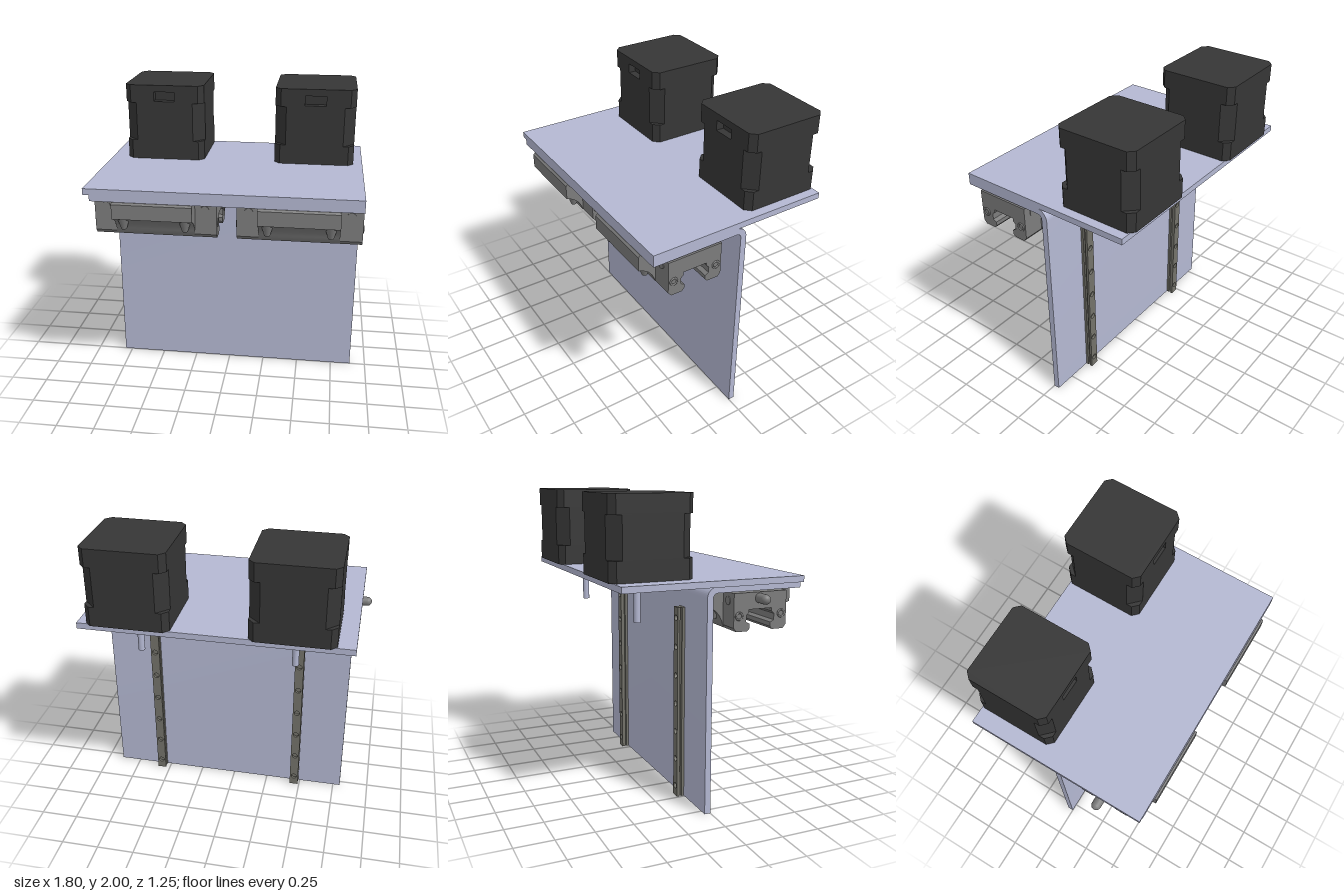
import * as THREE from 'three';
import { toCreasedNormals } from 'three/addons/utils/BufferGeometryUtils.js';

const material = (name, color) => {
  const m = new THREE.MeshStandardMaterial({ color });
  m.name = name;
  return m;
};

export function createModel() {
  const model = new THREE.Group();
  model.name = 'motorBracketAssembly';
  const plateMat = material('paleBlueMetal', 0xb4b8d2);
  const motorMat = material('blackHousing', 0x363636);
  const carriageMat = material('greySteel', 0x7c7c7c);
  const railMat = material('darkRailSteel', 0x73726a);

  const add = (parent, name, geometry, mat, x = 0, y = 0, z = 0) => {
    const mesh = new THREE.Mesh(geometry, mat);
    mesh.name = name;
    mesh.position.set(x, y, z);
    parent.add(mesh);
    return mesh;
  };
  const shapeOf = (pts) => new THREE.Shape(pts.map(([x, y]) => new THREE.Vector2(x, y)));
  const extrude = (shape, depth) =>
    new THREE.ExtrudeGeometry(shape, { depth, bevelEnabled: false, curveSegments: 12 });
  // Shape (u, y) swept along +x, with u = -z
  const alongX = (shape, length) => toCreasedNormals(extrude(shape, length).rotateY(Math.PI / 2), 0.5);
  // Shape (x, -z) swept along +y
  const alongY = (shape, length) => extrude(shape, length).rotateX(-Math.PI / 2);

  // Top plate and the bent bracket below it
  add(model, 'topPlate', new THREE.BoxGeometry(1.73, 0.04, 1.21), plateMat, 0.025, 1.47, 0.005);
  const bend = new THREE.Shape();
  bend.moveTo(-0.61, 1.45);
  bend.lineTo(-0.03, 1.45);
  bend.absarc(-0.03, 1.38, 0.07, Math.PI / 2, 0, true);
  bend.lineTo(0.04, 0);
  bend.lineTo(0, 0);
  bend.lineTo(0, 1.38);
  bend.absarc(-0.03, 1.38, 0.03, 0, Math.PI / 2, false);
  bend.lineTo(-0.61, 1.41);
  add(model, 'bentBracket', alongX(bend, 1.69), plateMat, -0.8, 0, 0);

  // Octagonal motor section, optionally with a connector recess in the front
  const octagon = (h, c, slot) => {
    const pts = [[-h, -h + c], [-h + c, -h]];
    if (slot) pts.push([-0.07, -h], [-0.07, -h + 0.05], [0.07, -h + 0.05], [0.07, -h]);
    pts.push([h - c, -h], [h, -h + c], [h, h - c], [h - c, h], [-h + c, h], [-h, h - c]);
    return shapeOf(pts);
  };
  const motorSections = [
    ['motorBase', 1.49, 1.62, 0.038, false],
    ['motorWaist', 1.62, 1.88, 0.075, false],
    ['motorCollar', 1.88, 1.89, 0.038, false],
    ['motorConnectorBand', 1.89, 1.955, 0.038, true],
    ['motorCap', 1.955, 2, 0.038, false],
  ];

  // Rail with side grooves and a row of bolt holes
  const rail = () => {
    const group = new THREE.Group();
    const length = 1.28, w = 0.03;
    const base = shapeOf([[-w, 0.04], [w, 0.04], [w, 0.058], [w - 0.008, 0.063],
      [w - 0.008, 0.073], [-w + 0.008, 0.073], [-w + 0.008, 0.063], [-w, 0.058]]);
    add(group, 'railBase', alongY(base, length), railMat);
    const cap = shapeOf([[-w, 0], [w, 0], [w, length], [-w, length]]);
    for (let i = 0; i < 7; i++) {
      const hole = new THREE.Path();
      hole.absarc(0, 0.07 + i * 0.19, 0.019, 0, Math.PI * 2, true);
      cap.holes.push(hole);
    }
    add(group, 'railCap', toCreasedNormals(extrude(cap, 0.017), 0.5), railMat, 0, 0, -0.09);
    return group;
  };

  // Motors, their shafts and the rails in line with them
  for (const x of [-0.46, 0.56]) {
    const motor = new THREE.Group();
    motor.name = 'motor';
    motor.position.set(x, 0, -0.355);
    for (const [name, y0, y1, chamfer, slot] of motorSections)
      add(motor, name, alongY(octagon(0.268, chamfer, slot), y1 - y0), motorMat, 0, y0, 0);
    add(motor, 'motorShaft', new THREE.CylinderGeometry(0.022, 0.022, 0.26, 24), plateMat, 0, 1.33, 0);
    model.add(motor);
    const r = rail();
    r.name = 'rail';
    r.position.x = x;
    model.add(r);
  }

  // Symmetric carriage profile: outer half from the top, then the rail channel
  const mirrored = (half) => shapeOf([...half, ...half.slice().reverse().map(([u, y]) => [-u, y])]);
  const channel = [[0.165, 1.16], [0.088, 1.16], [0.073, 1.178], [0.073, 1.205], [0.098, 1.218],
    [0.098, 1.258], [0.08, 1.275], [0.08, 1.295]];
  const bodyProfile = mirrored([[0.285, 1.41], [0.298, 1.398], [0.298, 1.302], [0.265, 1.29],
    [0.235, 1.27], [0.21, 1.24], [0.195, 1.21], [0.187, 1.185], ...channel]);
  const endProfile = mirrored([[0.185, 1.4], [0.185, 1.185], ...channel]);

  const carriage = (x0) => {
    const group = new THREE.Group();
    group.name = 'carriage';
    group.position.set(x0, 0, 0.327);
    const length = 0.782, endLength = 0.138;
    add(group, 'carriageBody', alongX(bodyProfile, length - 2 * endLength), carriageMat, endLength, 0, 0);
    for (const end of [0, 1]) {
      const mid = end ? length - endLength / 2 : endLength / 2;
      add(group, 'carriageEnd', alongX(endProfile, endLength), carriageMat, mid - endLength / 2, 0, 0);
      for (const side of [-1, 1]) {
        // Plug on the side of each end cap
        add(group, 'sidePlug', new THREE.CylinderGeometry(0.028, 0.028, 0.006, 24).rotateX(Math.PI / 2),
          carriageMat, end ? length - 0.075 : 0.075, 1.347, side * 0.186);
        // Cap screw on the end face
        add(group, 'endScrew', new THREE.TorusGeometry(0.022, 0.006, 8, 24).rotateY(Math.PI / 2),
          carriageMat, end * length, 1.257, side * 0.148);
        // Tapered bolt tip below the flange
        add(group, 'boltTip', new THREE.CylinderGeometry(0.042, 0.018, 0.08, 20),
          carriageMat, end ? length - 0.195 : 0.195, 1.255, side * 0.225);
      }
    }
    // Rounded grease fitting
    add(group, 'greaseFitting', new THREE.CapsuleGeometry(0.031, 0.09, 8, 20).rotateZ(Math.PI / 2),
      carriageMat, -0.026, 1.362, -0.007);
    return group;
  };
  model.add(carriage(-0.797), carriage(0.11));

  return model;
}
